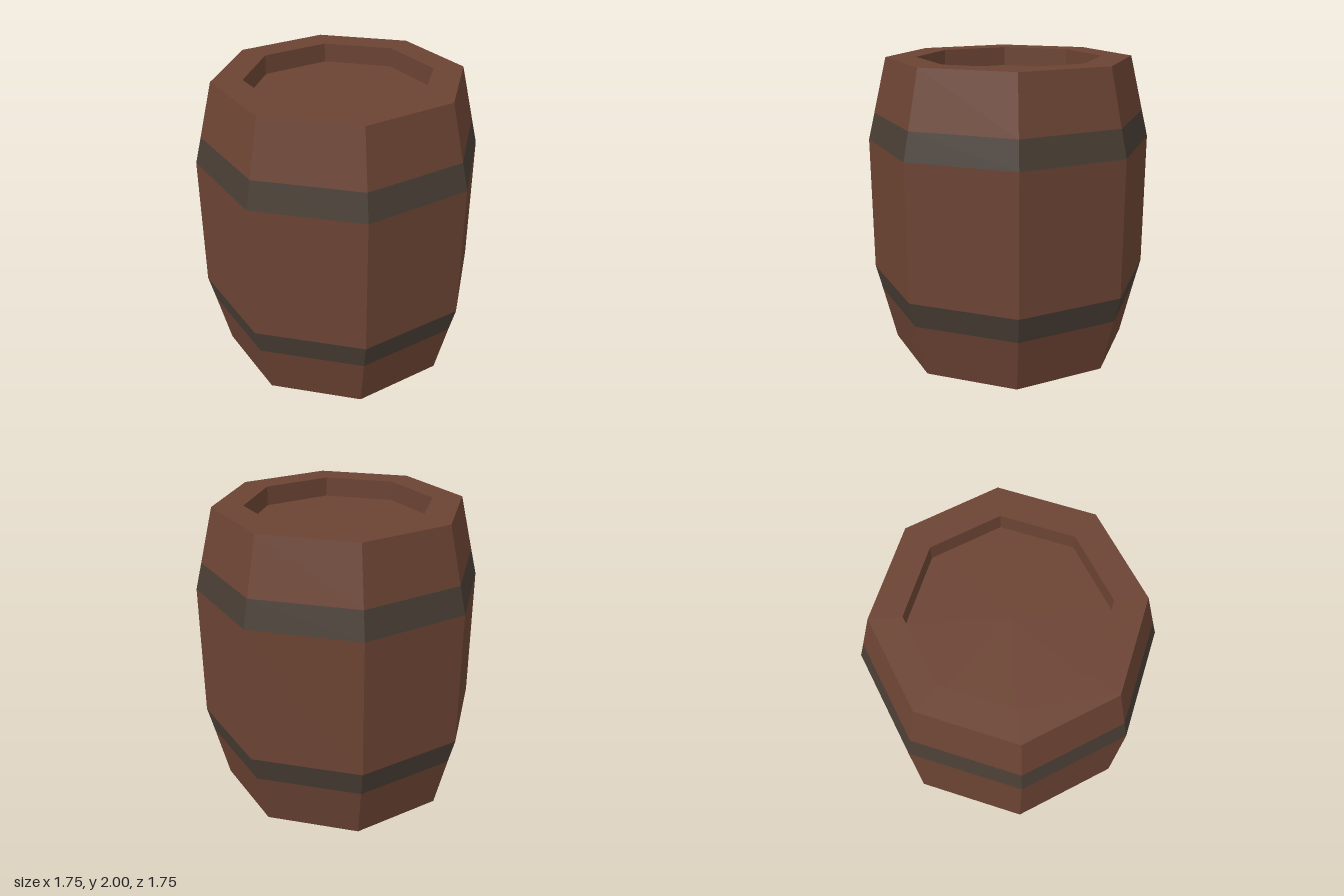
import * as THREE from 'three';

const SIDES = 8;
const wood = new THREE.MeshStandardMaterial({ color: 0x6b4333 });
wood.name = 'brown wood';
const iron = new THREE.MeshStandardMaterial({ color: 0x483d34 });
iron.name = 'dark iron';

// Distances from the axis to the flats, and heights
const END = 0.75, BELLY = 0.873, HOOP = 0.832, RECESS = 0.565, DEPTH = 0.13;
const Y = { hoopLow: 0.37, bellyLow: 0.545, bellyHigh: 1.455, hoopHigh: 1.635, top: 2 };

// Octagonal ring or cap with faceted normals; profile is [flat distance, height], bottom to top
function facetedPart(name, profile, material) {
  const points = profile.map(([flat, y]) => new THREE.Vector2(flat / Math.cos(Math.PI / SIDES), y));
  const geometry = new THREE.LatheGeometry(points, SIDES, Math.PI / SIDES).toNonIndexed();
  geometry.computeVertexNormals();
  const mesh = new THREE.Mesh(geometry, material);
  mesh.name = name;
  return mesh;
}

export function createModel() {
  const barrel = new THREE.Group();
  barrel.name = 'barrel';
  barrel.add(
    // Lower end: recessed head, rim and tapered staves
    facetedPart('lowerEnd', [[0, DEPTH], [RECESS, DEPTH], [RECESS, 0], [END, 0], [HOOP, Y.hoopLow]], wood),
    facetedPart('lowerHoop', [[HOOP, Y.hoopLow], [BELLY, Y.bellyLow]], iron),
    // Straight middle staves
    facetedPart('middleStaves', [[BELLY, Y.bellyLow], [BELLY, Y.bellyHigh]], wood),
    facetedPart('upperHoop', [[BELLY, Y.bellyHigh], [HOOP, Y.hoopHigh]], iron),
    // Upper end: tapered staves, rim and recessed head
    facetedPart('upperEnd', [[HOOP, Y.hoopHigh], [END, Y.top], [RECESS, Y.top],
      [RECESS, Y.top - DEPTH], [0, Y.top - DEPTH]], wood)
  );
  return barrel;
}
